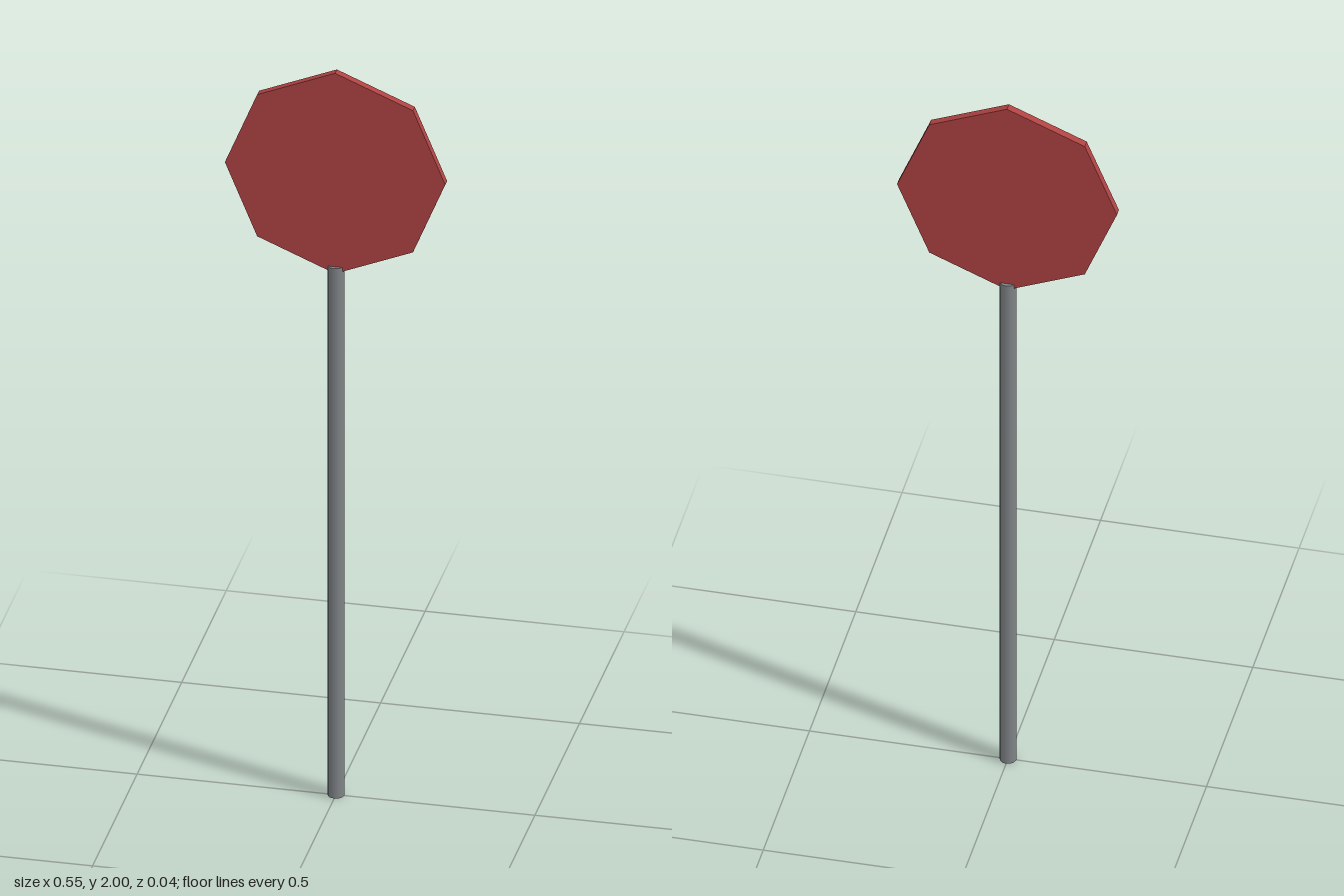
import * as THREE from 'three';

export function createModel() {
  const signRed = new THREE.MeshStandardMaterial({ color: 0xb04343, flatShading: true });
  signRed.name = 'signRed';
  const poleGrey = new THREE.MeshStandardMaterial({ color: 0x808487 });
  poleGrey.name = 'poleGrey';

  const model = new THREE.Group();
  model.name = 'roadSign';

  // Slim round post
  const postHeight = 1.465;
  const post = new THREE.Mesh(
    new THREE.CylinderGeometry(0.021, 0.021, postHeight, 12), poleGrey);
  post.name = 'post';
  post.position.y = postHeight / 2;
  model.add(post);

  // Eight-sided plate standing on one corner
  const radius = 0.277;
  const plateGeometry = new THREE.CylinderGeometry(radius, radius, 0.021, 8);
  plateGeometry.rotateX(Math.PI / 2);
  const plate = new THREE.Mesh(plateGeometry, signRed);
  plate.name = 'signPlate';
  plate.position.y = 2 - radius;
  model.add(plate);

  return model;
}
